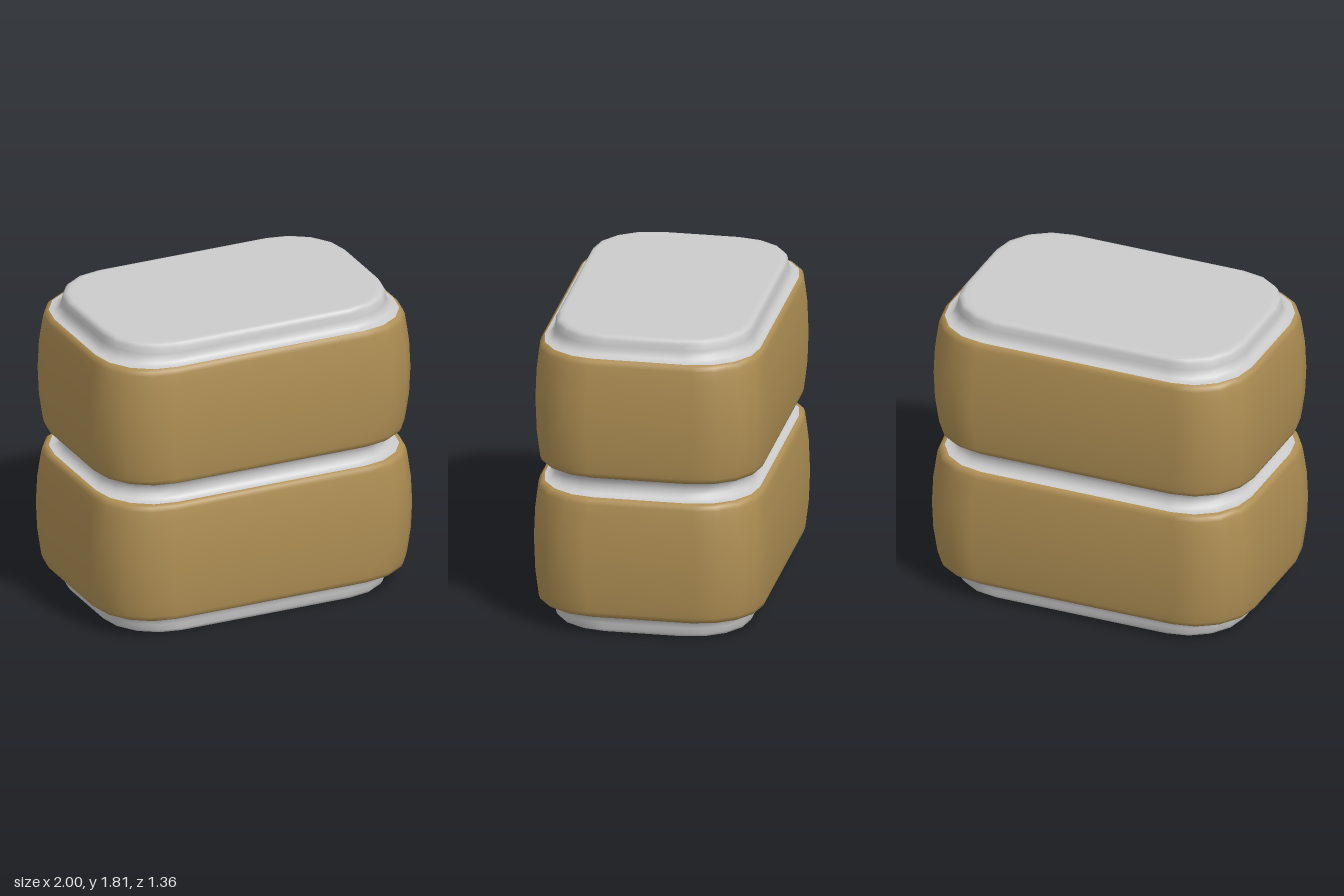
import * as THREE from 'three';

const grey = new THREE.MeshStandardMaterial({ color: 0xcccccc });
const gold = new THREE.MeshStandardMaterial({ color: 0xaf8f54 });
const CORNER_STEPS = 4;

// Rounded-rectangle outline, drawn inwards by `inset` from the widest section
function outline(inset) {
  const hx = 1 - inset, hz = 0.68 - inset * 0.9;
  const r = 0.36 - inset * 0.17;
  const points = [];
  for (let q = 0; q < 4; q++) {
    const sx = q === 0 || q === 3 ? 1 : -1;
    const sz = q < 2 ? 1 : -1;
    for (let k = 0; k <= CORNER_STEPS; k++) {
      const a = (q + k / CORNER_STEPS) * Math.PI / 2;
      points.push([sx * (hx - r) + r * Math.cos(a), sz * (hz - r) + r * Math.sin(a)]);
    }
  }
  return points;
}

// Smooth loft through outlines; profile = [inset, y] from bottom to top
function loft(name, material, profile, capBottom = false, capTop = false) {
  const n = 4 * (CORNER_STEPS + 1);
  const position = [], index = [];
  for (const [inset, y] of profile) {
    for (const [x, z] of outline(inset)) position.push(x, y, z);
  }
  for (let i = 0; i < profile.length - 1; i++) {
    for (let j = 0; j < n; j++) {
      const a = i * n + j, b = i * n + (j + 1) % n;
      index.push(a, a + n, b, b, a + n, b + n);
    }
  }
  const cap = (row, top) => {
    const centre = position.length / 3;
    position.push(0, profile[row][1], 0);
    for (let j = 0; j < n; j++) {
      const a = row * n + j, b = row * n + (j + 1) % n;
      index.push(centre, top ? b : a, top ? a : b);
    }
  };
  if (capBottom) cap(0, false);
  if (capTop) cap(profile.length - 1, true);
  const geometry = new THREE.BufferGeometry();
  geometry.setAttribute('position', new THREE.Float32BufferAttribute(position, 3));
  geometry.setIndex(index);
  geometry.computeVertexNormals();
  const mesh = new THREE.Mesh(geometry, material);
  mesh.name = name;
  return mesh;
}

// Bulging coloured band, mirrored about its mid height
function band(name, bottom, slim) {
  const height = 0.725;
  const half = [[0.06, 0], [0.047, 0.001], [0.034, 0.012], [0.026, 0.035], [0.019, 0.09], [0.006, 0.2]];
  const lower = half.map(([d, y]) => [d + (d < 0.05 ? slim : 0), bottom + y]);
  const upper = half.map(([d, y]) => [d + (d < 0.05 ? slim : 0), bottom + height - y]).reverse();
  return loft(name, gold, [...lower, [slim, bottom + height / 2], ...upper]);
}

export function createModel() {
  const group = new THREE.Group();
  group.name = 'bandedBlock';

  // Stepped foot with a rounded edge, flaring out to the lower band
  const foot = [[0.17, 0], [0.15, 0], [0.133, 0.006], [0.122, 0.025], [0.118, 0.06],
    [0.112, 0.085], [0.1, 0.105], [0.082, 0.117], [0.06, 0.12]];
  group.add(loft('foot', grey, foot, true, false));

  // Two coloured bands
  group.add(band('lowerBand', 0.12, 0));
  group.add(band('upperBand', 0.965, 0.008));

  // Concave neck between the bands
  const neckHalf = [[0.06, 0.845], [0.08, 0.847], [0.1, 0.858], [0.113, 0.878]];
  const neck = [...neckHalf, [0.119, 0.905], ...neckHalf.map(([d, y]) => [d, 1.81 - y]).reverse()];
  group.add(loft('neck', grey, neck));

  // Raised lid, the foot's mirror image
  const lid = foot.map(([d, y]) => [d, 1.81 - y]).reverse();
  group.add(loft('lid', grey, lid, false, true));

  return group;
}
